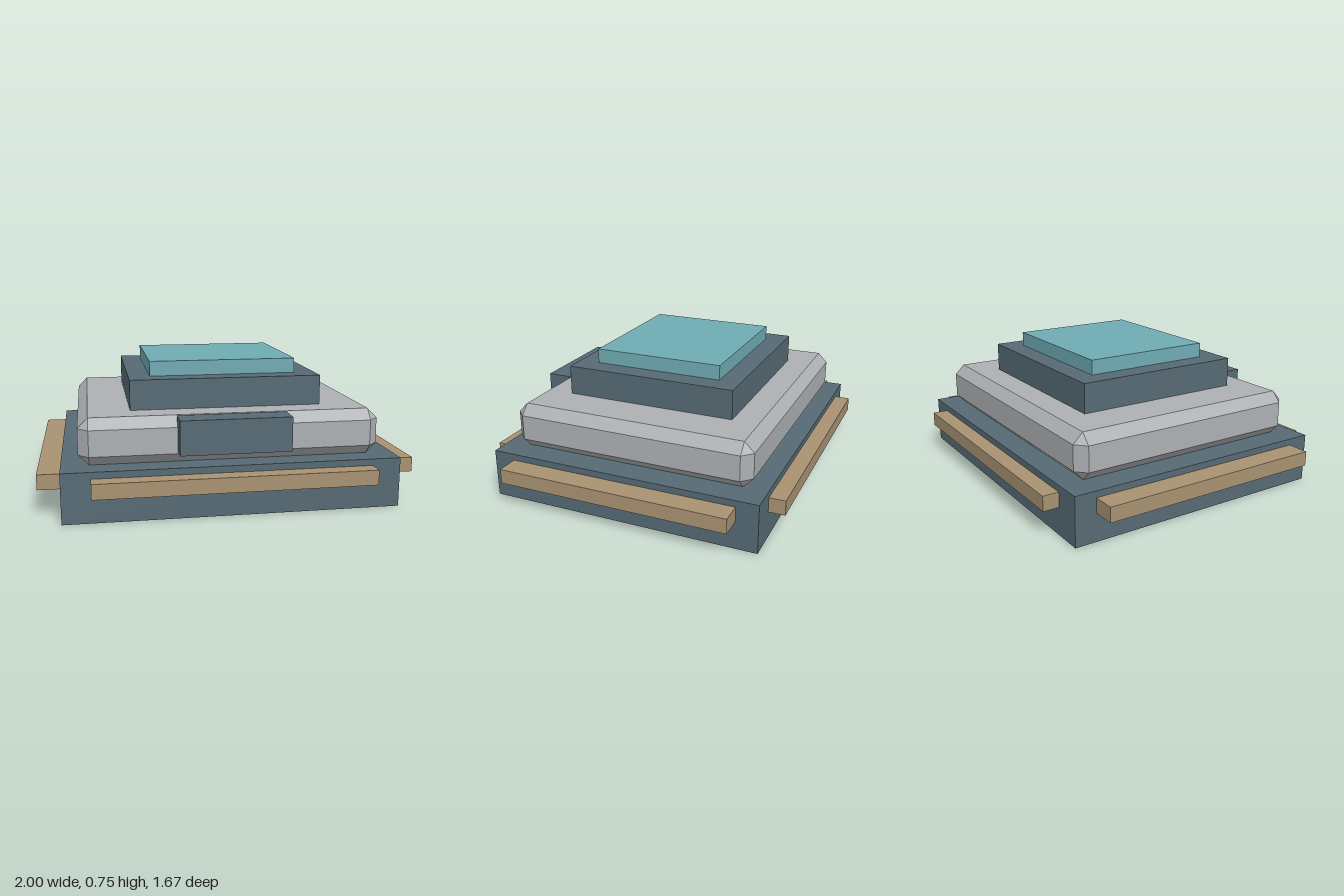
import * as THREE from 'three';
import { ConvexGeometry } from 'three/addons/geometries/ConvexGeometry.js';

const mat = (name, color) => {
  const m = new THREE.MeshStandardMaterial({ color });
  m.name = name;
  return m;
};

// Box whose edges and corners are all cut by a flat bevel
function chamferedBox(w, h, d, b) {
  const points = [];
  for (const sx of [-1, 1]) for (const sy of [-1, 1]) for (const sz of [-1, 1]) {
    for (const axis of [0, 1, 2]) {
      const cut = [b, b, b];
      cut[axis] = 0;
      points.push(new THREE.Vector3(
        sx * (w / 2 - cut[0]), sy * (h / 2 - cut[1]), sz * (d / 2 - cut[2])));
    }
  }
  return new ConvexGeometry(points);
}

export function createModel() {
  const model = new THREE.Group();
  model.name = 'steppedPlatform';

  const slate = mat('slate', 0x566a74);
  const tan = mat('tan', 0xa89272);
  const grey = mat('grey', 0xadb0b3);
  const teal = mat('teal', 0x70abb4);

  const add = (name, geometry, material, x, y, z) => {
    const mesh = new THREE.Mesh(geometry, material);
    mesh.name = name;
    mesh.position.set(x, y, z);
    model.add(mesh);
  };
  // Box given by its size, bottom height and plan position
  const box = (name, material, w, h, d, bottom, x = 0, z = 0) =>
    add(name, new THREE.BoxGeometry(w, h, d), material, x, bottom + h / 2, z);

  // Base slab and bevelled body
  box('base', slate, 1.76, 0.265, 1.5, 0);
  add('body', chamferedBox(1.58, 0.245, 1.345, 0.054), grey, 0, 0.3875, 0);

  // Bumper rails on all four sides of the base
  for (const s of [1, -1]) {
    box(s > 0 ? 'frontRail' : 'backRail', tan, 1.46, 0.08, 0.12, 0.15, 0, s * 0.777);
    box(s > 0 ? 'leftRail' : 'rightRail', tan, 0.15, 0.08, 1.265, 0.15, s * 0.925, 0);
  }

  // Raised deck, top pad and front block
  box('deck', slate, 1.03, 0.16, 0.95, 0.51);
  box('topPad', teal, 0.8, 0.08, 0.72, 0.67);
  box('frontBlock', slate, 0.575, 0.18, 0.132, 0.33, 0, 0.7);

  return model;
}
